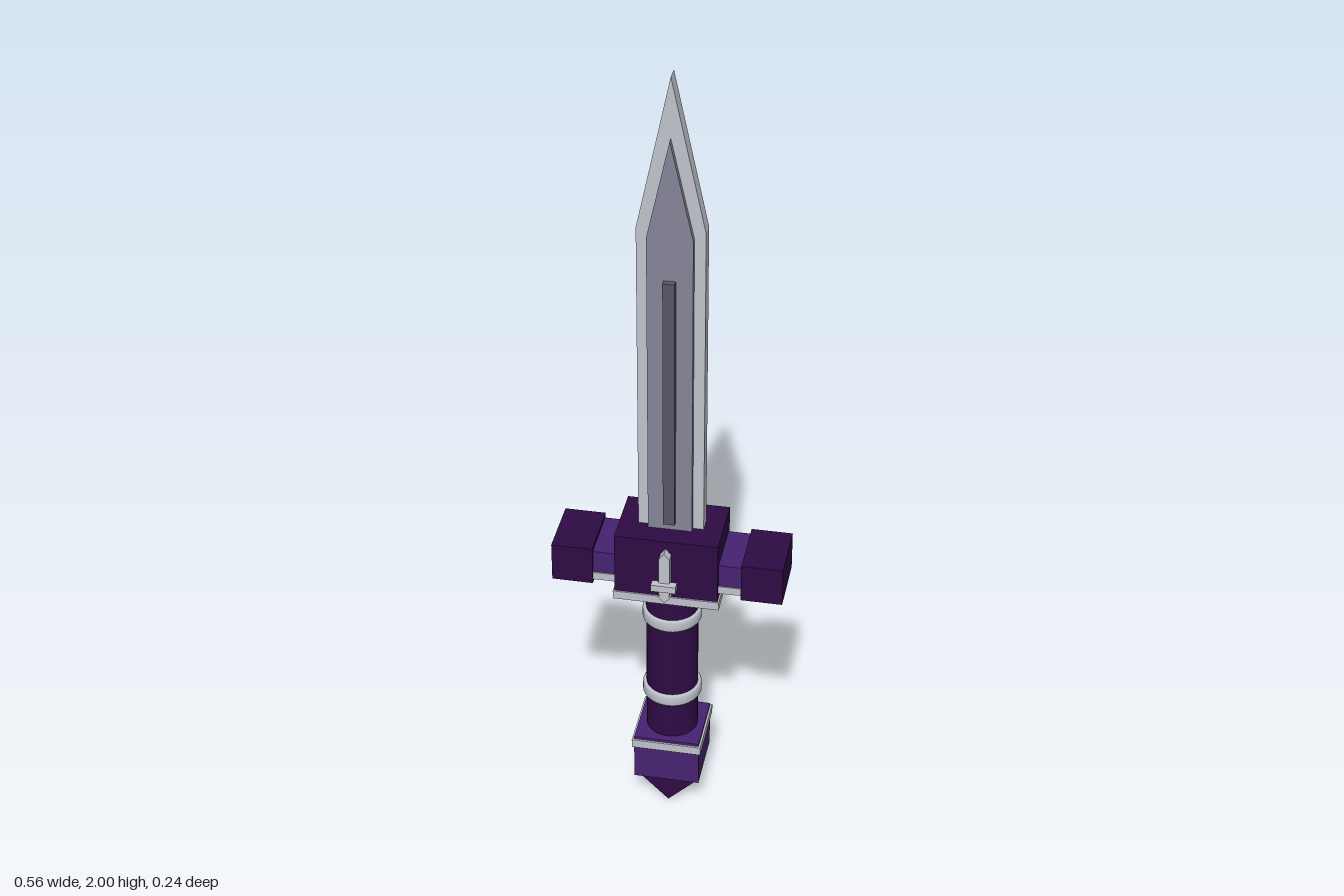
import * as THREE from 'three';

const material = (name, color) => {
  const m = new THREE.MeshStandardMaterial({ color });
  m.name = name;
  return m;
};

export function createModel() {
  const silver = material('silver', 0xbfc3cb);
  const steel = material('steel', 0x868497);
  const darkSteel = material('darkSteel', 0x585567);
  const darkPurple = material('darkPurple', 0x2e0b45);
  const purple = material('purple', 0x472271);

  const model = new THREE.Group();
  model.name = 'dagger';

  const add = (name, geometry, mat, parent = model) => {
    const mesh = new THREE.Mesh(geometry, mat);
    mesh.name = name;
    parent.add(mesh);
    return mesh;
  };

  // Box given by half width, bottom, top and half depth
  const box = (name, mat, hx, y0, y1, hz, x = 0, z = 0, parent = model) => {
    const mesh = add(name, new THREE.BoxGeometry(2 * hx, y1 - y0, 2 * hz), mat, parent);
    mesh.position.set(x, (y0 + y1) / 2, z);
    return mesh;
  };

  // Flat pointed slab, centred in depth
  const pointedSlab = (name, mat, hx, y0, shoulder, tip, hz, parent = model) => {
    const shape = new THREE.Shape([
      new THREE.Vector2(-hx, y0), new THREE.Vector2(hx, y0),
      new THREE.Vector2(hx, shoulder), new THREE.Vector2(0, tip), new THREE.Vector2(-hx, shoulder),
    ]);
    const geometry = new THREE.ExtrudeGeometry(shape, { depth: 2 * hz, bevelEnabled: false });
    geometry.translate(0, 0, -hz);
    return add(name, geometry, mat, parent);
  };

  // Blade in three stepped layers
  pointedSlab('bladeEdge', silver, 0.079, 0.8, 1.63, 2.0, 0.018);
  pointedSlab('bladeCore', steel, 0.053, 0.82, 1.615, 1.855, 0.032);
  box('bladeRidge', darkSteel, 0.014, 0.855, 1.51, 0.047);

  // Crossguard
  box('guardBlock', darkPurple, 0.125, 0.672, 0.832, 0.084);
  box('guardPlate', silver, 0.129, 0.65, 0.672, 0.088);
  for (const side of [-1, 1]) {
    box('guardArm', purple, 0.035, 0.71, 0.77, 0.071, side * 0.15);
    box('guardArmTrim', silver, 0.035, 0.69, 0.71, 0.074, side * 0.15);
    box('guardEnd', darkPurple, 0.05, 0.68, 0.78, 0.077, side * 0.23);
  }

  // Small sword emblem on both faces of the guard
  for (const side of [-1, 1]) {
    const emblem = new THREE.Group();
    emblem.name = 'guardEmblem';
    model.add(emblem);
    pointedSlab('emblemBlade', silver, 0.013, 0.69, 0.795, 0.812, 0.013, emblem).position.z = side * 0.094;
    box('emblemCrossbar', silver, 0.03, 0.708, 0.726, 0.01, 0, side * 0.109, emblem);
    const knob = box('emblemPommel', silver, 0.011, 0.673, 0.695, 0.013, 0, side * 0.094, emblem);
    knob.rotation.z = Math.PI / 4;
  }

  // Round grip with bevelled rings
  add('grip', new THREE.CylinderGeometry(0.064, 0.064, 0.45, 32), darkPurple).position.y = 0.43;
  for (const y of [0.335, 0.567]) {
    const profile = [[0.062, -0.016], [0.069, -0.016], [0.073, -0.011],
      [0.073, 0.011], [0.069, 0.016], [0.062, 0.016]].map(([r, h]) => new THREE.Vector2(r, h));
    add('gripRing', new THREE.LatheGeometry(profile, 32), silver).position.y = y;
  }

  // Pommel with a diamond-shaped foot
  box('pommelBlock', purple, 0.082, 0.09, 0.217, 0.082);
  box('pommelPlate', silver, 0.087, 0.187, 0.21, 0.087);
  const diagonal = 0.073;
  const half = diagonal / Math.SQRT2;
  const foot = box('pommelFoot', darkPurple, half, diagonal - half, diagonal + half, 0.055);
  foot.rotation.z = Math.PI / 4;

  return model;
}
